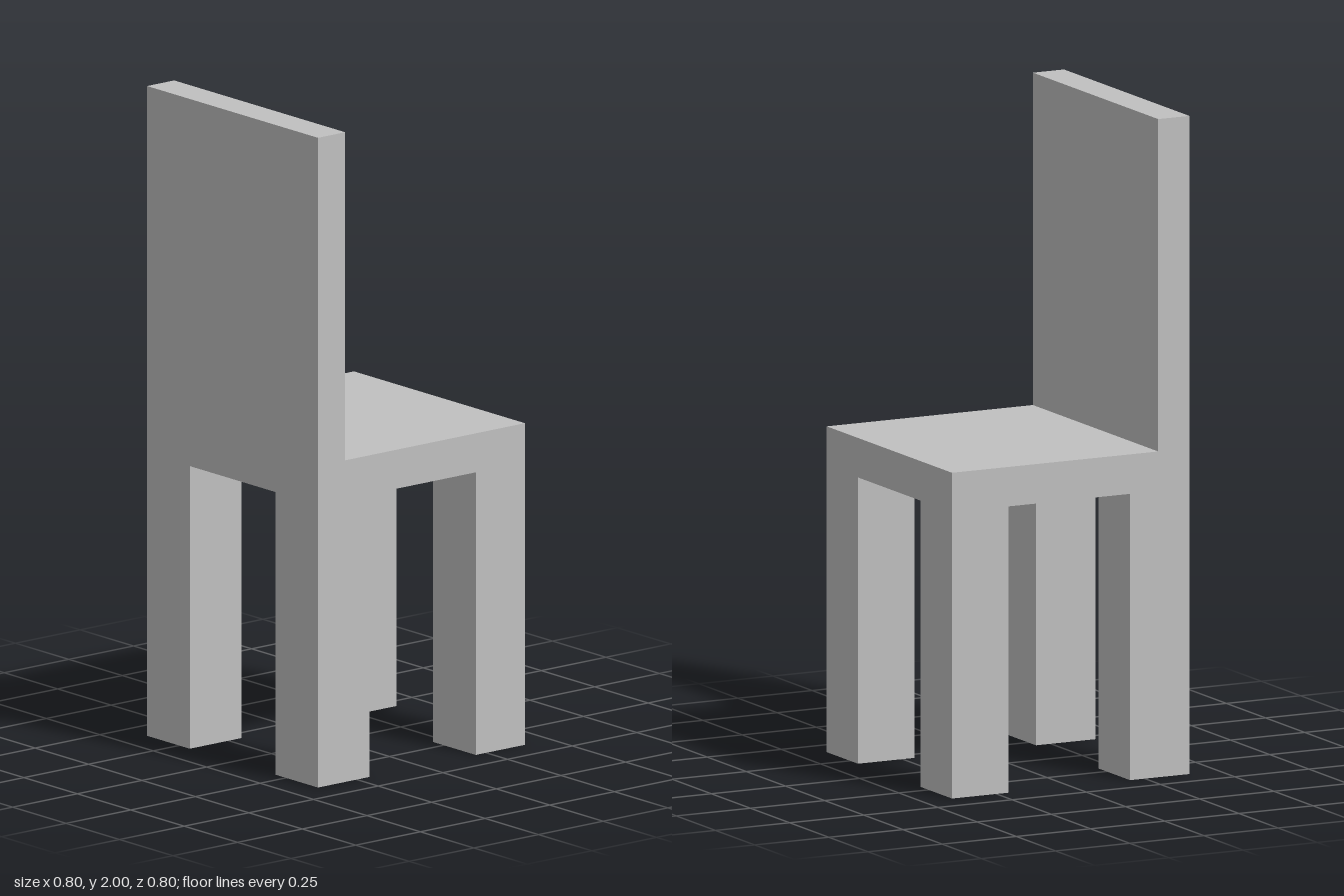
import * as THREE from 'three';

export function createModel() {
  const chair = new THREE.Group();
  chair.name = 'chair';
  const grey = new THREE.MeshStandardMaterial({ color: 0xc0c0c0 });
  grey.name = 'light grey';

  // Box given by its extents along each axis
  const addBox = (name, [x0, x1], [y0, y1], [z0, z1]) => {
    const mesh = new THREE.Mesh(new THREE.BoxGeometry(x1 - x0, y1 - y0, z1 - z0), grey);
    mesh.position.set((x0 + x1) / 2, (y0 + y1) / 2, (z0 + z1) / 2);
    mesh.name = name;
    chair.add(mesh);
  };

  const half = 0.4, seatBottom = 0.87, seatTop = 0.99;

  // Seat slab and upright backrest on its +z edge
  addBox('seat', [-half, half], [seatBottom, seatTop], [-half, half]);
  addBox('backrest', [-half, half], [seatTop, 2], [0.295, half]);

  // Four square legs, flush with the seat corners
  for (const [side, x] of [['left', [0.2, half]], ['right', [-half, -0.2]]]) {
    addBox(`${side}BackrestLeg`, x, [0, seatBottom], [0.2, half]);
    addBox(`${side}SeatLeg`, x, [0, seatBottom], [-half, -0.21]);
  }
  return chair;
}
